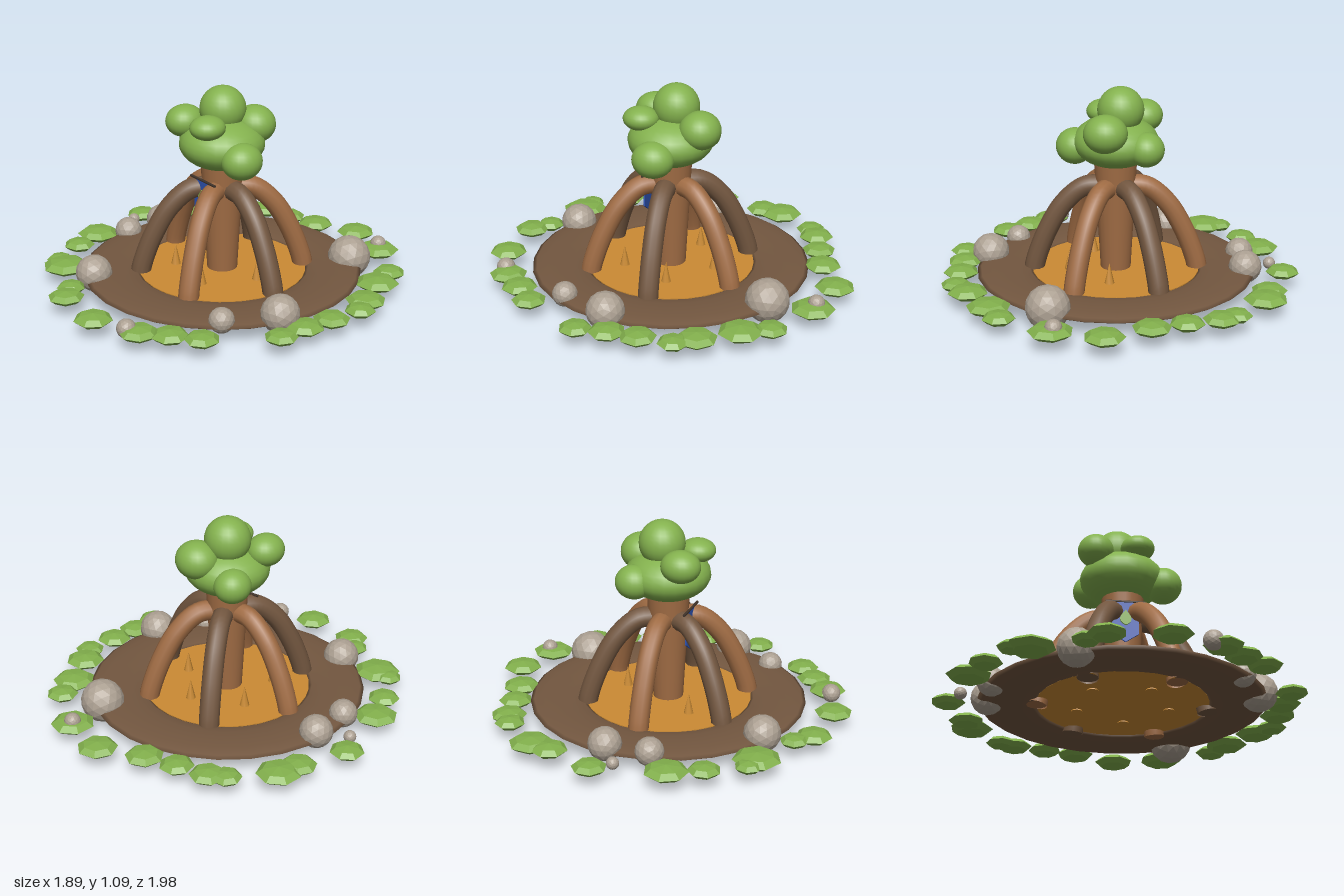
import * as THREE from 'three';

const mat = (name, color, opts = {}) => {
  const m = new THREE.MeshStandardMaterial({ color, ...opts });
  m.name = name;
  return m;
};

export function createModel() {
  const root = new THREE.Group();
  root.name = 'treeShrine';
  const bark = mat('bark', 0xa06c44, { side: THREE.DoubleSide });
  const darkBark = mat('darkBark', 0x735740, { side: THREE.DoubleSide });
  const leaf = mat('leaf', 0x84b24e);
  const grass = mat('grass', 0x82b04c, { flatShading: true });
  const stone = mat('stone', 0xaca092, { flatShading: true });
  const amber = mat('amber', 0xcb8b34);
  const cloth = mat('blueCloth', 0x2f55b5);
  const rodWood = mat('rodWood', 0x42352c);

  const add = (name, geo, material, x = 0, y = 0, z = 0, parent = root) => {
    const m = new THREE.Mesh(geo, material);
    m.name = name;
    m.position.set(x, y, z);
    parent.add(m);
    return m;
  };

  // Everything but the scattered rim is centred slightly off the origin
  const CX = 0.027;

  // Flattened earth ring and the amber floor inside it
  const ring = new THREE.TorusGeometry(0.59, 0.15, 12, 28).rotateX(Math.PI / 2).scale(1, 0.16, 1);
  add('earthRing', ring, darkBark, CX, 0.09, 0);
  add('amberFloor', new THREE.CylinderGeometry(0.445, 0.445, 0.012, 32), amber, CX, 0.092, 0);

  // Amber spikes standing on the floor
  for (let i = 0; i < 5; i++) {
    const a = THREE.MathUtils.degToRad(62 + i * 72);
    add('amberSpike', new THREE.ConeGeometry(0.03, 0.13, 8), amber,
      CX + Math.cos(a) * 0.25, 0.145, Math.sin(a) * 0.25);
  }

  // Trunk, wider at the crown
  add('trunk', new THREE.CylinderGeometry(0.116, 0.08, 0.65, 20), bark, CX, 0.415, 0);

  // Six arching roots in alternating bark colours
  const arch = new THREE.CatmullRomCurve3([
    [0.03, 0.555], [0.16, 0.55], [0.27, 0.46], [0.36, 0.31], [0.425, 0.14], [0.44, 0.065],
  ].map(([r, y]) => new THREE.Vector3(r, y, 0)));
  const rootGeo = new THREE.TubeGeometry(arch, 28, 0.054, 12);
  const capGeo = new THREE.CircleGeometry(0.054, 12).rotateX(Math.PI / 2);
  for (let i = 0; i < 6; i++) {
    const g = new THREE.Group();
    g.name = 'archRoot';
    g.position.x = CX;
    g.rotation.y = -i * Math.PI / 3;
    const m = i % 2 ? bark : darkBark;
    add('rootArch', rootGeo, m, 0, 0, 0, g);
    add('rootFoot', capGeo, m, 0.44, 0.065, 0, g);
    root.add(g);
  }

  // Crown: x, y, z and the three radii of each foliage puff
  const puff = new THREE.SphereGeometry(1, 24, 16);
  [
    [0.025, 0.795, 0.0, 0.225, 0.135, 0.225],
    [0.0, 0.97, -0.024, 0.122, 0.122, 0.122],
    [-0.13, 0.9, 0.125, 0.095, 0.085, 0.105],
    [0.09, 0.92, 0.14, 0.09, 0.062, 0.095],
    [0.24, 0.76, 0.035, 0.1, 0.095, 0.11],
    [-0.13, 0.785, -0.13, 0.095, 0.09, 0.1],
    [0.08, 0.88, -0.17, 0.115, 0.1, 0.11],
  ].forEach(([x, y, z, rx, ry, rz]) => {
    add('foliagePuff', puff, leaf, x, y, z).scale.set(rx, ry, rz);
  });

  // Banner hanging on a thin rod at the front
  const rod = new THREE.CylinderGeometry(0.007, 0.007, 0.21, 8).rotateZ(Math.PI / 2);
  add('bannerRod', rod, rodWood, CX, 0.612, 0.125);
  const flag = new THREE.Shape();
  [[-0.07, 0.61], [-0.07, 0.43], [0, 0.383], [0.07, 0.43], [0.07, 0.61]]
    .forEach(([x, y], i) => (i ? flag.lineTo(x, y) : flag.moveTo(x, y)));
  add('banner', new THREE.ExtrudeGeometry(flag, { depth: 0.009, bevelEnabled: false }),
    cloth, CX, 0, 0.12);
  const leafShape = new THREE.Shape();
  leafShape.moveTo(0, 0.562);
  leafShape.bezierCurveTo(-0.01, 0.545, -0.03, 0.53, -0.03, 0.51);
  leafShape.bezierCurveTo(-0.03, 0.495, -0.015, 0.482, 0, 0.476);
  leafShape.bezierCurveTo(0.015, 0.482, 0.03, 0.495, 0.03, 0.51);
  leafShape.bezierCurveTo(0.03, 0.53, 0.01, 0.545, 0, 0.562);
  add('bannerLeaf', new THREE.ExtrudeGeometry(leafShape, { depth: 0.008, bevelEnabled: false }),
    leaf, CX, 0, 0.129);

  // Grass clumps around the rim: x, z, radius
  const clump = new THREE.SphereGeometry(1, 7, 4);
  [
    [0.09, -0.9, 0.105], [0.35, -0.83, 0.115], [0.61, -0.67, 0.085], [0.67, -0.53, 0.115],
    [0.79, -0.34, 0.105], [0.86, -0.24, 0.08], [0.85, -0.06, 0.095], [0.84, 0.1, 0.095],
    [0.85, 0.26, 0.085], [0.64, 0.58, 0.09], [0.515, 0.68, 0.095], [0.4, 0.785, 0.1],
    [0.145, 0.885, 0.1], [-0.155, 0.86, 0.095], [-0.24, 0.78, 0.075], [-0.49, 0.66, 0.125],
    [-0.58, 0.645, 0.07], [-0.69, 0.455, 0.085], [-0.765, 0.285, 0.115], [-0.86, -0.08, 0.09],
    [-0.76, -0.34, 0.095], [-0.73, -0.455, 0.115], [-0.565, -0.655, 0.08],
    [-0.485, -0.7, 0.095], [-0.315, -0.745, 0.09], [-0.14, -0.795, 0.1],
  ].forEach(([x, z, r], i) => {
    const m = add('grassClump', clump, grass, x, 0.09, z);
    m.scale.set(r, 0.02 + r * 0.13, r);
    m.rotation.y = i * 1.3;
  });

  // Stones: x, y, z, radius
  const rock = new THREE.IcosahedronGeometry(1, 2);
  [
    [0.37, 0.115, -0.6, 0.115], [0.335, 0.115, -0.845, 0.044], [0.705, 0.125, 0.15, 0.1],
    [0.57, 0.112, 0.41, 0.066], [0.345, 0.1, 0.82, 0.05], [-0.27, 0.117, 0.62, 0.097],
    [-0.65, 0.115, 0.155, 0.075], [-0.66, 0.12, -0.08, 0.088], [-0.8, 0.1, 0.02, 0.033],
  ].forEach(([x, y, z, r], i) => {
    const m = add('stone', rock, stone, x, y, z);
    m.scale.setScalar(r);
    m.rotation.y = i * 0.9;
  });

  return root;
}
